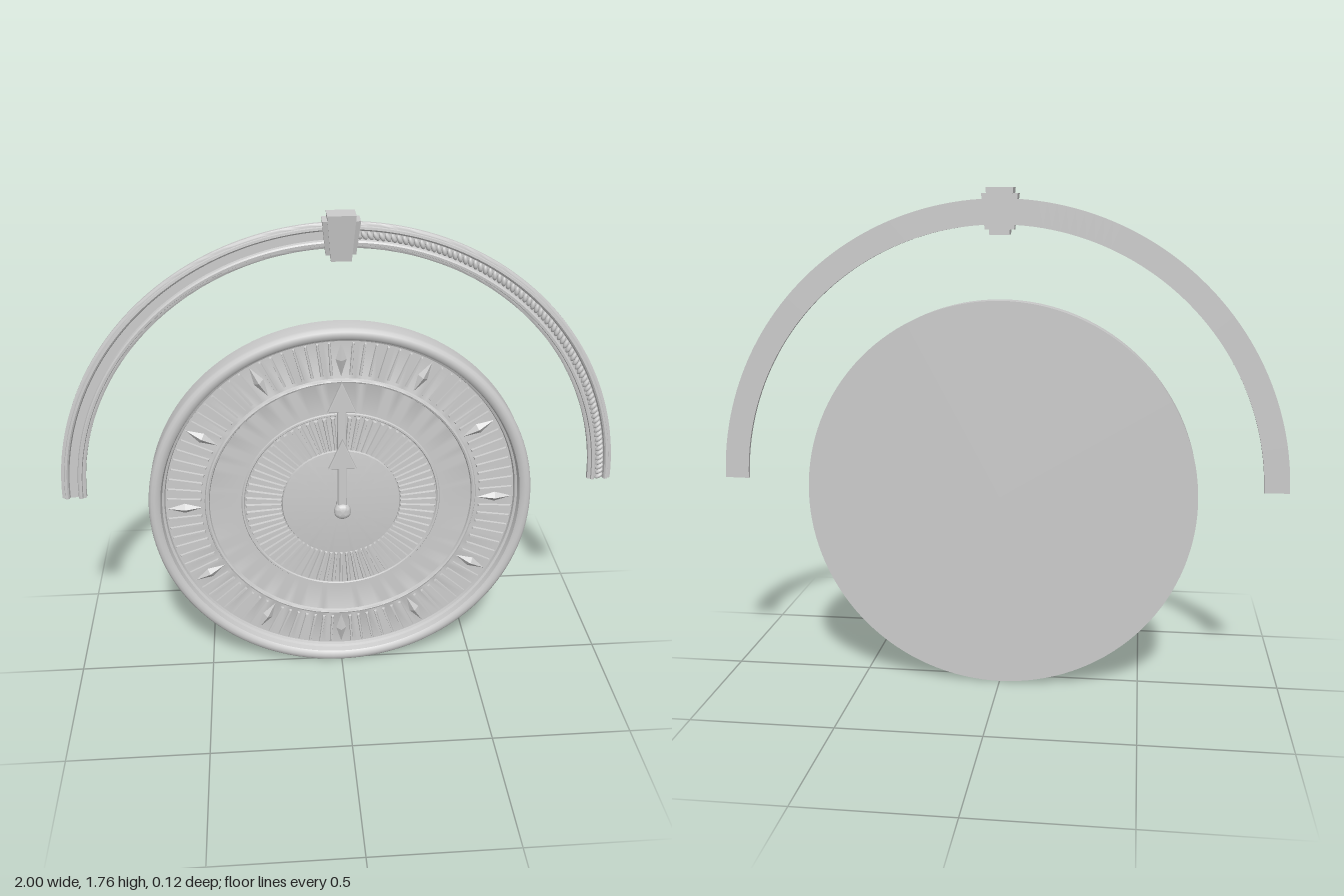
import * as THREE from 'three';
import { mergeGeometries, toCreasedNormals } from 'three/addons/utils/BufferGeometryUtils.js';

const TAU = Math.PI * 2;
const FACE = -0.02; // height of the dial surface
const material = new THREE.MeshStandardMaterial({ color: 0xcccccc });
const doubleSided = new THREE.MeshStandardMaterial({ color: 0xcccccc, side: THREE.DoubleSide });

function addMesh(parent, name, geometry, mat = material) {
  const mesh = new THREE.Mesh(geometry, mat);
  mesh.name = name;
  parent.add(mesh);
  return mesh;
}

// Turn a (radius, z) profile around the z axis
function turn(profile, segments, start = 0, length = TAU) {
  const points = profile.map(([r, z]) => new THREE.Vector2(r, z));
  const g = new THREE.LatheGeometry(points, segments, start, length).rotateX(Math.PI / 2);
  return toCreasedNormals(g, 0.6);
}

// Repeat a piece that points along +y around the centre
function radial(piece, count, skip = () => false) {
  const copies = [];
  for (let i = 0; i < count; i++) {
    if (!skip(i)) copies.push(piece.clone().rotateZ((-i / count) * TAU));
  }
  return mergeGeometries(copies);
}

// Raised bar from radius r0 to r1, with bevelled top and widths w0, w1
function bar(r0, r1, w0, w1, height) {
  const g = new THREE.BoxGeometry(1, 1, 1);
  const p = g.attributes.position;
  for (let i = 0; i < p.count; i++) {
    const top = p.getZ(i) > 0;
    const outer = p.getY(i) > 0;
    p.setXYZ(i,
      p.getX(i) * (outer ? w1 : w0) * (top ? 0.6 : 1),
      outer ? r1 - (top ? 0.004 : 0) : r0 + (top ? 0.004 : 0),
      top ? FACE + height : FACE - 0.003);
  }
  g.computeVertexNormals();
  return g;
}

// Arrow hand: shaft and triangular head
function hand(tip, z, depth) {
  const base = tip - 0.115;
  const s = new THREE.Shape();
  s.moveTo(-0.016, 0);
  s.lineTo(0.016, 0);
  s.lineTo(0.016, base);
  s.lineTo(0.05, base);
  s.lineTo(0, tip);
  s.lineTo(-0.05, base);
  s.lineTo(-0.016, base);
  s.closePath();
  const bevel = 0.005;
  return new THREE.ExtrudeGeometry(s, {
    depth: depth - 2 * bevel, bevelEnabled: true, bevelThickness: bevel,
    bevelSize: 0.004, bevelOffset: -0.004, bevelSegments: 2,
  }).translate(0, 0, z + bevel);
}

// Wedge with a trapezoid front that leans back towards the bottom
function wedge(topHalf, bottomHalf, top, bottom, frontTop, frontBottom, back) {
  const g = new THREE.BoxGeometry(2, 1, 1);
  const p = g.attributes.position;
  for (let i = 0; i < p.count; i++) {
    const up = p.getY(i) > 0;
    const front = p.getZ(i) > 0;
    p.setXYZ(i,
      p.getX(i) * (up ? topHalf : bottomHalf),
      up ? top : bottom,
      front ? (up ? frontTop : frontBottom) : back);
  }
  g.computeVertexNormals();
  return g;
}

function createClock() {
  const clock = new THREE.Group();
  clock.name = 'clock';
  clock.position.y = 0.692;

  // Case with rounded rim, recessed dial and ring mouldings
  addMesh(clock, 'caseAndDial', turn([
    [0, -0.06], [0.692, -0.06], [0.692, 0.005], [0.689, 0.016], [0.681, 0.023], [0.67, 0.025],
    [0.658, 0.023], [0.65, 0.016], [0.647, 0.004], [0.645, -0.004], [0.637, -0.008], [0.634, FACE],
    [0.494, FACE], [0.491, -0.012], [0.485, -0.009], [0.479, -0.012], [0.476, FACE],
    [0.362, FACE], [0.359, -0.015], [0.353, -0.015], [0.35, FACE],
    [0.216, FACE], [0.213, -0.013], [0.207, -0.012], [0, -0.012],
  ], 128));

  // Dial markings
  addMesh(clock, 'outerTicks', radial(bar(0.505, 0.63, 0.012, 0.009, 0.008), 96, (i) => i % 8 === 0));
  addMesh(clock, 'innerTicks', radial(bar(0.215, 0.348, 0.011, 0.016, 0.009), 72));
  const diamond = new THREE.OctahedronGeometry(1).scale(0.019, 0.063, 0.017).translate(0, 0.565, FACE);
  addMesh(clock, 'hourMarkers', radial(diamond, 12));

  // Hands and their pivot
  addMesh(clock, 'minuteHand', hand(0.495, 0.001, 0.018));
  addMesh(clock, 'hourHand', hand(0.288, 0.03, 0.018));
  addMesh(clock, 'pivot', turn([
    [0.02, FACE], [0.02, 0.026], [0.029, 0.029], [0.031, 0.038], [0.03, 0.048], [0.024, 0.056],
    [0.014, 0.06], [0, 0.061],
  ], 32));
  return clock;
}

function createArch() {
  const arch = new THREE.Group();
  arch.name = 'arch';
  arch.position.y = 0.725;
  const cut = 0.013;

  // Moulded band with a groove between two lips
  const profile = [
    [0.914, -0.06], [1, -0.06], [1, -0.048], [0.994, -0.044], [0.989, -0.044], [0.987, -0.038],
    [0.979, -0.037], [0.974, -0.041], [0.971, -0.051], [0.943, -0.051], [0.94, -0.041],
    [0.935, -0.037], [0.927, -0.038], [0.925, -0.044], [0.92, -0.044], [0.914, -0.048],
  ];
  addMesh(arch, 'archBand', turn([...profile, profile[0]], 96, Math.PI / 2 + cut, Math.PI - 2 * cut));

  // Cut ends of the band
  const section = new THREE.Shape(profile.map(([r, z]) => new THREE.Vector2(r, z)));
  for (const angle of [cut, Math.PI - cut]) {
    const cap = new THREE.ShapeGeometry(section).rotateX(Math.PI / 2).rotateZ(angle);
    addMesh(arch, 'archEnd', cap, doubleSided);
  }

  // Rope of slanted beads in the groove, mirrored about the middle
  const beads = [];
  const perSide = 76;
  for (const side of [1, -1]) {
    for (let i = 0; i < perSide; i++) {
      const angle = cut + 0.01 + (i / perSide) * (Math.PI / 2 - cut - 0.01);
      beads.push(new THREE.SphereGeometry(1, 10, 6)
        .scale(0.017, 0.0085, 0.01)
        .rotateZ(side * 0.6)
        .translate(0.957, 0, -0.048)
        .rotateZ(side > 0 ? angle : -angle)
        .rotateY(side > 0 ? 0 : Math.PI)
        .translate(0, 0, side > 0 ? 0 : -0.096));
      if (side < 0) beads[beads.length - 1].scale(1, -1, 1).rotateX(Math.PI).translate(0, 0, -0.096);
    }
  }
  // Keep every bead on the upper half of the arch
  for (const bead of beads) {
    bead.computeBoundingBox();
    if (bead.boundingBox.max.y < 0) bead.rotateZ(Math.PI);
  }
  addMesh(arch, 'ropeBeads', mergeGeometries(beads));
  return arch;
}

function createKeystone() {
  const keystone = new THREE.Group();
  keystone.name = 'keystone';
  addMesh(keystone, 'keystoneCentre', wedge(0.047, 0.034, 1.762, 1.605, 0.015, -0.01, -0.06));
  addMesh(keystone, 'keystoneShoulders', wedge(0.062, 0.05, 1.742, 1.622, 0.006, -0.026, -0.059));
  return keystone;
}

export function createModel() {
  const model = new THREE.Group();
  model.name = 'wallClock';
  model.add(createClock(), createArch(), createKeystone());
  return model;
}
